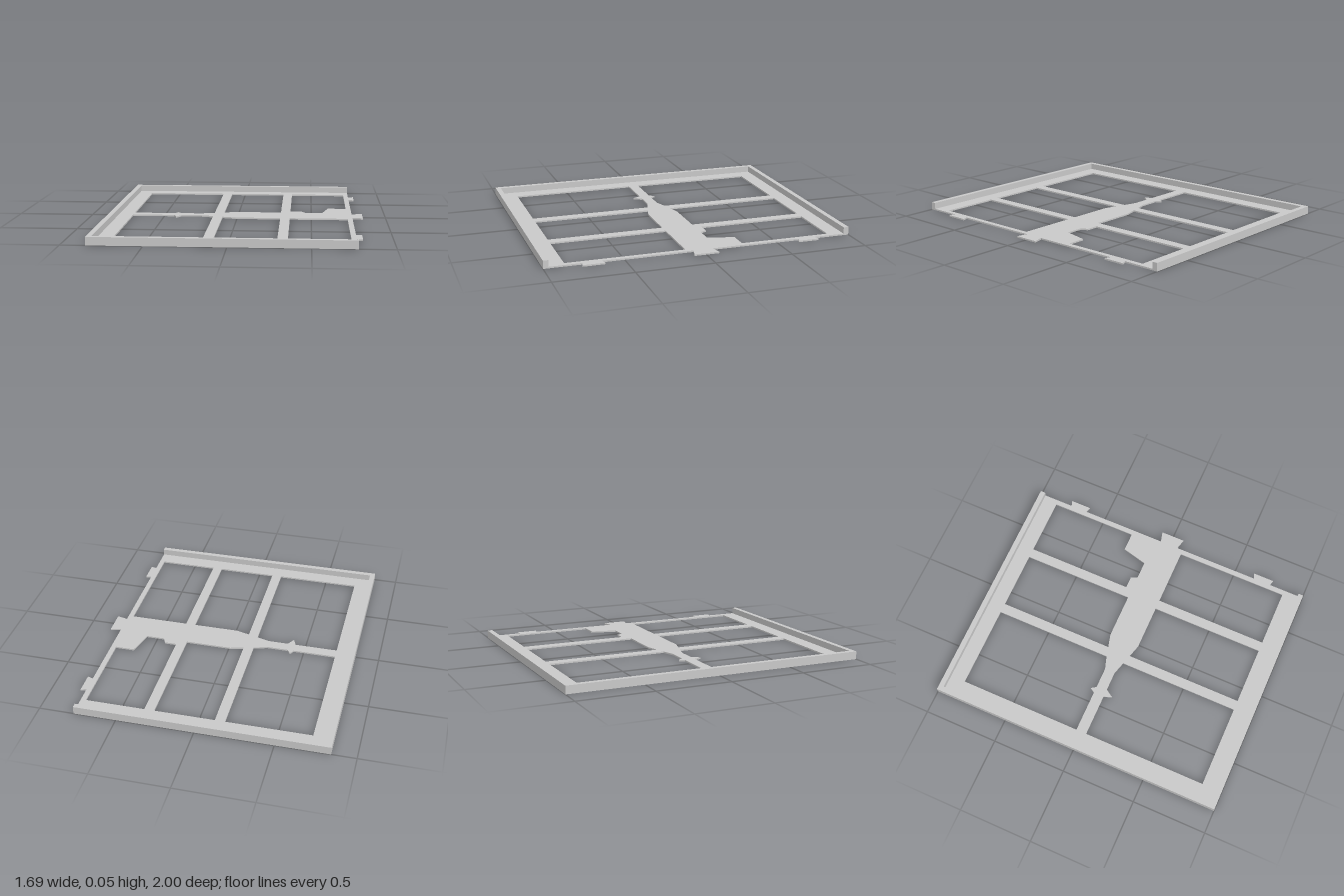
import * as THREE from 'three';

const PLATE = 0.01, HEIGHT = 0.052;
const LEFT = -0.845, RIGHT = 0.775, WALL = 0.034;

// Plan points are [x, z]; extrusion runs upward from the given base height.
const toPoints = (plan) => plan.map(([x, z]) => new THREE.Vector2(x, -z));

// The outer plan must run counter-clockwise so that hole walls face inward.
function extrudePlan(plan, holes, base, height) {
  const shape = new THREE.Shape(toPoints(plan));
  shape.holes = holes.map((h) => new THREE.Path(toPoints(h)));
  const geo = new THREE.ExtrudeGeometry(shape, { depth: height, bevelEnabled: false });
  geo.rotateX(-Math.PI / 2);
  geo.translate(0, base, 0);
  return geo;
}

export function createModel() {
  const group = new THREE.Group();
  const grey = new THREE.MeshStandardMaterial({ color: 0xc8c8c8 });
  grey.name = 'grey';

  const add = (name, geo) => {
    const mesh = new THREE.Mesh(geo, grey);
    mesh.name = name;
    group.add(mesh);
  };

  // Flared tabs along the open edge, front to back: [root z, tip z, tip z, root z, tip x]
  const tabs = [
    [0.76, 0.771, 0.629, 0.64, 0.812],
    [0.06, 0.078, -0.083, -0.065, 0.845],
    [-0.645, -0.633, -0.772, -0.76, 0.812],
  ];
  const outline = [[RIGHT, -1], [LEFT, -1], [LEFT, 1], [RIGHT, 1]];
  for (const [a, b, c, d, tip] of tabs) {
    outline.push([RIGHT, a], [tip, b], [tip, c], [RIGHT, d]);
  }

  // Edges of the central silhouette, one run for each window
  const backEdges = [
    [[-0.713, -0.037], [-0.433, -0.037], [-0.412, -0.07], [-0.39, -0.037], [-0.25, -0.037], [-0.163, -0.065]],
    [[-0.098, -0.082], [-0.01, -0.105], [0.292, -0.105]],
    [[0.356, -0.148], [0.435, -0.148], [0.456, -0.105], [0.575, -0.105], [0.617, -0.275], [0.742, -0.275]],
  ];
  const frontEdges = [
    [[-0.713, 0.033], [-0.433, 0.033], [-0.412, 0.086], [-0.378, 0.033], [-0.25, 0.033], [-0.163, 0.058]],
    [[-0.098, 0.077], [-0.01, 0.102], [0.292, 0.102]],
    [[0.356, 0.102], [0.742, 0.102]],
  ];
  // Close each window against the outer border
  const closeWindow = (edge, z) => [...edge, [edge[edge.length - 1][0], z], [edge[0][0], z]];
  const windows = [
    ...backEdges.map((e) => closeWindow(e, -0.866)),
    ...frontEdges.map((e) => closeWindow(e, 0.866)),
  ];
  add('basePlate', extrudePlan(outline, windows, 0, PLATE));

  // Raised rim on three sides, open on the tab side
  const inner = 1 - WALL;
  const rim = [
    [RIGHT, -1], [LEFT, -1], [LEFT, 1], [RIGHT, 1],
    [RIGHT, inner], [LEFT + WALL, inner], [LEFT + WALL, -inner], [RIGHT, -inner],
  ];
  add('rim', extrudePlan(rim, [], PLATE, HEIGHT - PLATE));

  return group;
}
